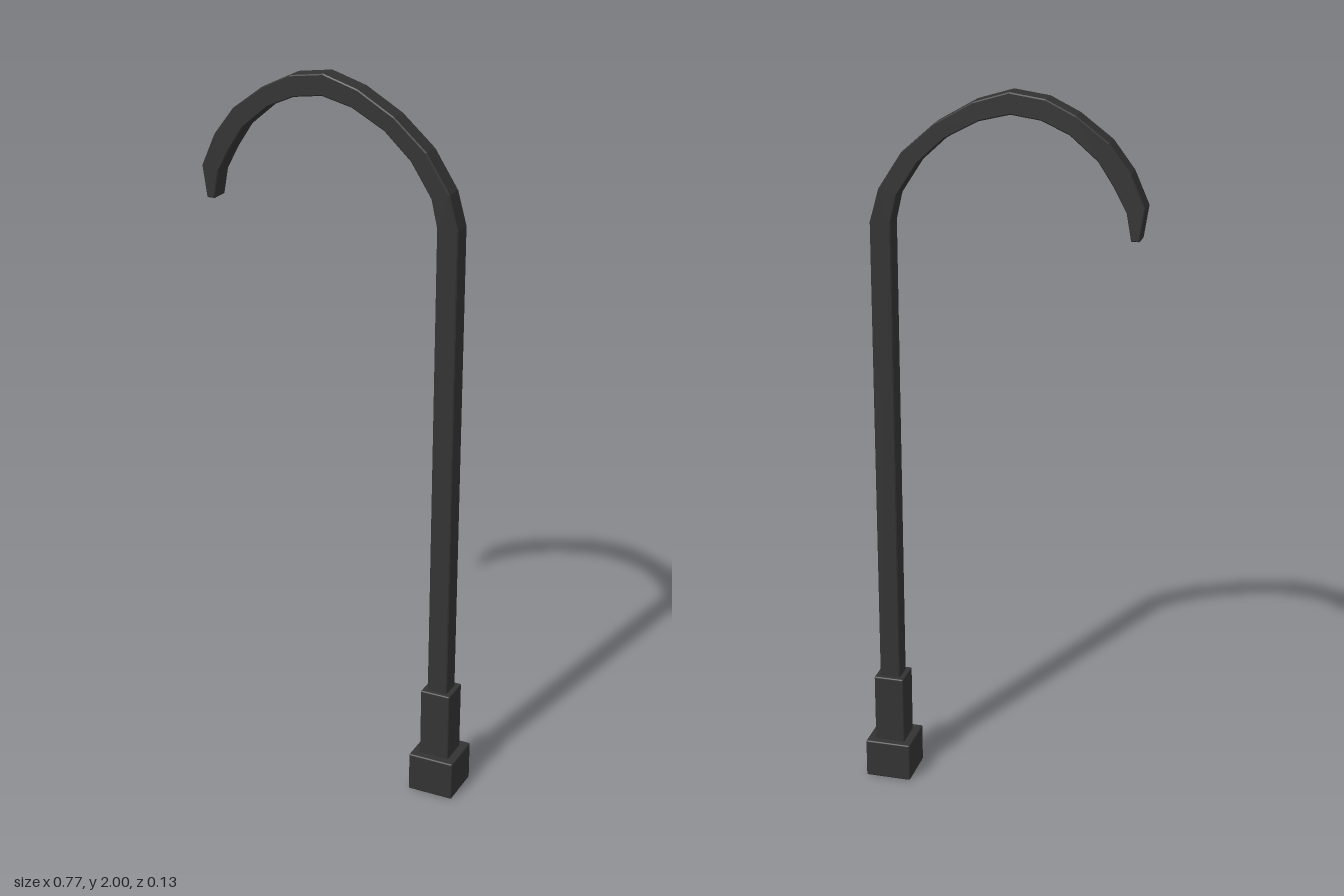
import * as THREE from 'three';
import { RoundedBoxGeometry } from 'three/addons/geometries/RoundedBoxGeometry.js';

const SHAFT_X = 0.318;

export function createModel() {
  const group = new THREE.Group();
  group.name = 'walkingCane';
  const material = new THREE.MeshStandardMaterial({ color: 0x333333 });

  const add = (name, geometry) => {
    const mesh = new THREE.Mesh(geometry, material);
    mesh.name = name;
    group.add(mesh);
    return mesh;
  };

  // Square block standing on the shaft axis between two heights
  const block = (name, width, y0, y1) =>
    add(name, new RoundedBoxGeometry(width, y1 - y0, width, 1, 0.004))
      .position.set(SHAFT_X, (y0 + y1) / 2, 0);

  block('foot', 0.131, 0, 0.112);
  block('sleeve', 0.086, 0.1, 0.31);

  // Shaft running into the faceted crook: outer and inner edge of the bend
  const outer = [
    [0.347, 0.29], [0.347, 1.64], [0.322, 1.73], [0.257, 1.831], [0.167, 1.911],
    [0.066, 1.97], [-0.03, 2], [-0.125, 1.987], [-0.204, 1.949], [-0.29, 1.885],
    [-0.347, 1.81], [-0.386, 1.722], [-0.373, 1.636],
  ];
  const inner = [
    [0.289, 0.29], [0.289, 1.64], [0.272, 1.714], [0.214, 1.804], [0.14, 1.873],
    [0.05, 1.922], [-0.034, 1.943], [-0.114, 1.932], [-0.188, 1.899], [-0.262, 1.836],
    [-0.304, 1.772], [-0.338, 1.708], [-0.351, 1.636],
  ];
  const outline = [...outer, ...inner.reverse()].map(([x, y]) => new THREE.Vector2(x, y));

  const half = 0.029, bevel = 0.003;
  const crook = new THREE.ExtrudeGeometry(new THREE.Shape(outline), {
    depth: 2 * (half - bevel),
    bevelEnabled: true,
    bevelThickness: bevel,
    bevelSize: bevel,
    bevelOffset: -bevel,
    bevelSegments: 1,
  });
  crook.translate(0, 0, bevel - half);
  add('shaftAndCrook', crook);

  return group;
}
